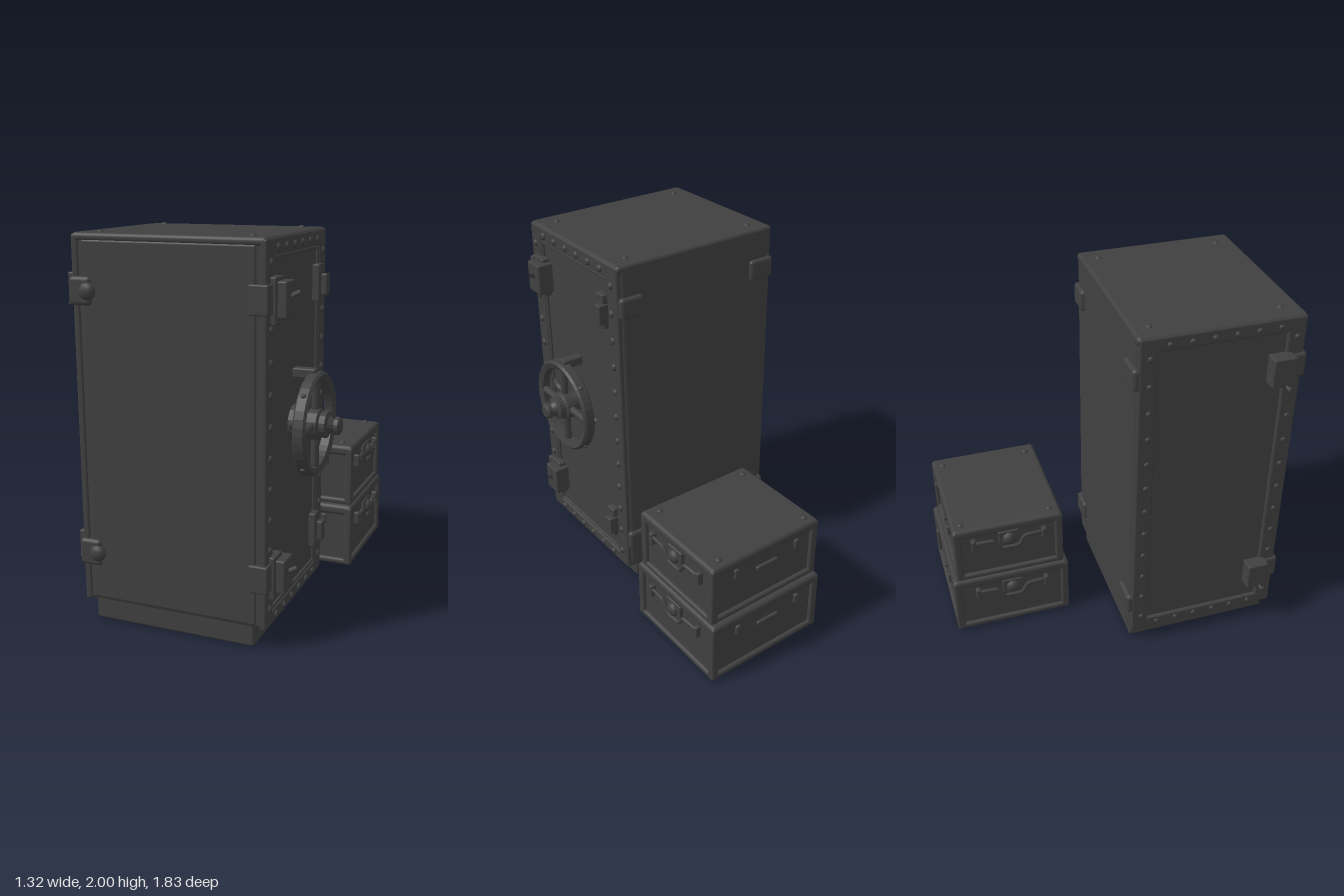
import * as THREE from 'three';
import { RoundedBoxGeometry } from 'three/addons/geometries/RoundedBoxGeometry.js';

const iron = new THREE.MeshStandardMaterial({ color: 0x404040 });
iron.name = 'dark iron';

// Rounded block given by its extents
function block(parent, name, x, y, z, r = 0.008) {
  const s = [x, y, z].map(([a, b]) => b - a);
  const m = new THREE.Mesh(new RoundedBoxGeometry(...s, 2, Math.min(r, Math.min(...s) * 0.45)), iron);
  m.position.set((x[0] + x[1]) / 2, (y[0] + y[1]) / 2, (z[0] + z[1]) / 2);
  m.name = name;
  parent.add(m);
  return m;
}

// Domed bolt head; axis is the index of the flattened direction
const dome = new THREE.SphereGeometry(1, 10, 8);
function rivet(parent, x, y, z, axis, r = 0.02) {
  const m = new THREE.Mesh(dome, iron);
  const s = [r, r, r];
  s[axis] = r * 0.7;
  m.scale.set(...s);
  m.position.set(x, y, z);
  m.name = 'rivet';
  parent.add(m);
}

// Turned part along +x; points are [radius, x]
function turned(parent, name, pts, y, z, sides = 32) {
  const g = new THREE.LatheGeometry(pts.map(p => new THREE.Vector2(...p)), sides);
  const m = new THREE.Mesh(g.toNonIndexed(), iron);
  m.geometry.computeVertexNormals();
  m.rotation.z = -Math.PI / 2;
  m.position.set(0, y, z);
  m.name = name;
  parent.add(m);
}

function tube(parent, name, pts, r) {
  const curve = new THREE.CatmullRomCurve3(pts.map(p => new THREE.Vector3(...p)), false, 'catmullrom', 0.1);
  const m = new THREE.Mesh(new THREE.TubeGeometry(curve, 24, r, 8), iron);
  m.name = name;
  parent.add(m);
}

// Four raised bars around a face that looks along x
function frame(parent, name, x, y, z, top, bottom, side, r) {
  const f = new THREE.Group();
  f.name = name;
  block(f, 'topRail', x, [y[1] - top, y[1]], z, r);
  block(f, 'bottomRail', x, [y[0], y[0] + bottom], z, r);
  block(f, 'backRail', x, y, [z[0], z[0] + side], r);
  block(f, 'frontRail', x, y, [z[1] - side, z[1]], r);
  parent.add(f);
}

function makeSafe() {
  const safe = new THREE.Group();
  safe.name = 'safe';
  block(safe, 'plinth', [-0.52, 0.36], [0, 0.13], [0.04, 0.87], 0.012);
  block(safe, 'body', [-0.56, 0.41], [0.1, 1.975], [0.02, 0.875], 0.025);
  block(safe, 'frontSheet', [-0.525, 0.375], [0.12, 1.955], [0.8, 0.882], 0.012);
  block(safe, 'topSheet', [-0.575, 0.425], [1.945, 1.987], [0.02, 0.883], 0.02);

  // Riveted side frames, door panel and thin inner moulding
  frame(safe, 'doorFrame', [0.39, 0.428], [0.1, 1.98], [0.03, 0.882], 0.08, 0.07, 0.095, 0.012);
  frame(safe, 'farFrame', [-0.578, -0.54], [0.1, 1.98], [0.03, 0.882], 0.08, 0.07, 0.095, 0.012);
  frame(safe, 'doorMoulding', [0.4, 0.422], [0.17, 1.9], [0.125, 0.79], 0.018, 0.018, 0.018, 0.006);
  for (const [x, r] of [[0.428, 0.02], [-0.578, 0.016]]) {
    for (let i = 0; i < 12; i++) {
      const y = 0.2 + i * 0.152;
      for (const z of [0.085, 0.835]) rivet(safe, x, y, z, 0, r);
    }
    for (let i = 0; i < 6; i++)
      for (const y of [0.135, 1.935]) rivet(safe, x, y, 0.18 + i * 0.113, 0, r);
  }
  for (const x of [-0.47, 0.32]) for (const z of [0.11, 0.78]) rivet(safe, x, 1.985, z, 1, 0.018);

  // Hinge brackets at the corners
  for (const y of [0.27, 1.61]) {
    const h = new THREE.Group();
    h.name = 'hinges';
    block(h, 'doorHingeCover', [0.41, 0.5], [y + 0.01, y + 0.18], [0.7, 0.82]);
    block(h, 'doorHingeFoot', [0.41, 0.455], [y - 0.02, y + 0.2], [0.73, 0.84]);
    block(h, 'doorHingeStrap', [0.34, 0.44], [y + 0.03, y + 0.17], [0.82, 0.9]);
    tube(h, 'doorHingePin', [[0.48, y + 0.1, 0.76], [0.54, y + 0.13, 0.75]], 0.013);
    block(h, 'farHingeCover', [-0.64, -0.56], [y + 0.02, y + 0.18], [0.7, 0.82]);
    block(h, 'farHingeStrap', [-0.59, -0.47], [y + 0.03, y + 0.17], [0.8, 0.9], 0.02);
    rivet(h, -0.49, y + 0.1, 0.89, 2, 0.045);
    tube(h, 'farHingePin', [[-0.6, y + 0.03, 0.78], [-0.66, y + 0.02, 0.78]], 0.009);
    block(h, 'catchPlate', [0.41, 0.45], [y + 0.01, y + 0.2], [0.13, 0.2]);
    block(h, 'catchBlock', [0.42, 0.48], [y + 0.04, y + 0.15], [0.12, 0.17]);
    const c = y < 1 ? 0.24 : 1.7;
    for (const x of [[-0.575, -0.42], [0.28, 0.42]]) block(h, 'backCorner', x, [c, c + 0.12], [0, 0.06], 0.02);
    safe.add(h);
  }

  // Hand wheel with hub, spokes and levers
  const wheel = new THREE.Group();
  wheel.name = 'handWheel';
  const wy = 1.05, wz = 0.46;
  turned(wheel, 'rim', [[0.22, 0.5], [0.25, 0.49], [0.262, 0.5], [0.262, 0.545], [0.25, 0.557],
    [0.22, 0.545], [0.22, 0.5]], wy, wz, 40);
  turned(wheel, 'hub', [[0.09, 0.41], [0.09, 0.44], [0.05, 0.445], [0.05, 0.49], [0.08, 0.5], [0.08, 0.55],
    [0.065, 0.56], [0.065, 0.59], [0.045, 0.6], [0.03, 0.625], [0.045, 0.63], [0.045, 0.65], [0.03, 0.66], [0, 0.66]], wy, wz, 20);
  for (let i = 0; i < 4; i++) {
    const a = i * Math.PI / 2, c = Math.cos(a), s = Math.sin(a);
    tube(wheel, 'spoke', [[0.525, wy + 0.05 * c, wz + 0.05 * s], [0.525, wy + 0.235 * c, wz + 0.235 * s]], 0.022);
    rivet(wheel, 0.525, wy + 0.26 * Math.cos(a + 0.8), wz + 0.26 * Math.sin(a + 0.8), 1, 0.016);
  }
  for (const s of [-1, 1])
    tube(wheel, 'lever', [[0.45, wy, wz + s * 0.06], [0.475, wy + s * 0.03, wz + s * 0.16], [0.455, wy + s * 0.03, wz + s * 0.22]], 0.018);
  block(wheel, 'rimBracketArm', [0.41, 0.53], [1.28, 1.33], [0.435, 0.49]);
  block(wheel, 'rimBracketTip', [0.5, 0.53], [1.26, 1.33], [0.435, 0.49]);
  safe.add(wheel);
  return safe;
}

// Strongbox with bound edges, latch and clasps
function makeBox(name, y0, y1, x, z) {
  const b = new THREE.Group();
  b.name = name;
  const cz = (z[0] + z[1]) / 2, cx = (x[0] + x[1]) / 2, ly = y1 - 0.1;
  block(b, 'case', [x[0] + 0.02, x[1] - 0.02], [y0, y1 - 0.01], [z[0] + 0.02, z[1] - 0.02], 0.02);
  block(b, 'lidBand', x, [y1 - 0.06, y1], z, 0.022);
  block(b, 'baseBand', x, [y0, y0 + 0.035], z, 0.014);
  for (const px of x) for (const pz of z) {
    const ax = px === x[0] ? [px, px + 0.045] : [px - 0.045, px];
    const az = pz === z[0] ? [pz, pz + 0.045] : [pz - 0.045, pz];
    block(b, 'cornerPost', ax, [y0, y1 - 0.01], az, 0.012);
  }
  for (const s of [-1, 1]) {
    // Drop handle and lock on the two ends
    const fx = s > 0 ? x[1] - 0.02 : x[0] + 0.02;
    const span = d => [Math.min(fx, fx + s * d), Math.max(fx, fx + s * d)];
    block(b, 'lockPlate', span(0.025), [ly - 0.05, ly + 0.05], [cz - 0.06, cz + 0.06]);
    rivet(b, fx + s * 0.025, ly, cz, 0, 0.04);
    tube(b, 'handle', [[fx + s * 0.02, ly, cz - 0.2], [fx + s * 0.025, ly, cz - 0.09], [fx + s * 0.025, ly - 0.06, cz - 0.05],
      [fx + s * 0.025, ly - 0.06, cz + 0.05], [fx + s * 0.025, ly, cz + 0.09], [fx + s * 0.02, ly, cz + 0.2]], 0.011);
    for (const k of [-1, 1]) block(b, 'clasp', span(0.035), [ly - 0.05, ly + 0.025], [cz + k * 0.2 - 0.014, cz + k * 0.2 + 0.014]);
    // Grip and clips on the long sides
    const fz = s > 0 ? z[1] - 0.01 : z[0] + 0.01;
    const out = [Math.min(fz, fz + s * 0.02), Math.max(fz, fz + s * 0.02)];
    block(b, 'sideGrip', [cx - 0.07, cx + 0.07], [ly - 0.035, ly - 0.01], out);
    for (const k of [-1, 1]) block(b, 'sideClip', [cx + k * 0.2 - 0.015, cx + k * 0.2 + 0.015], [ly - 0.02, ly + 0.04], out);
  }
  return b;
}

export function createModel() {
  const model = new THREE.Group();
  model.name = 'safeAndStrongboxes';
  model.add(makeSafe());
  model.add(makeBox('lowerStrongbox', 0.01, 0.375, [-0.2, 0.53], [-0.9, -0.23]));
  const upper = makeBox('upperStrongbox', 0.375, 0.73, [-0.19, 0.52], [-0.875, -0.255]);
  for (const x of [-0.13, 0.44]) for (const z of [-0.82, -0.32]) rivet(upper, x, 0.73, z, 1, 0.018);
  model.add(upper);
  return model;
}
